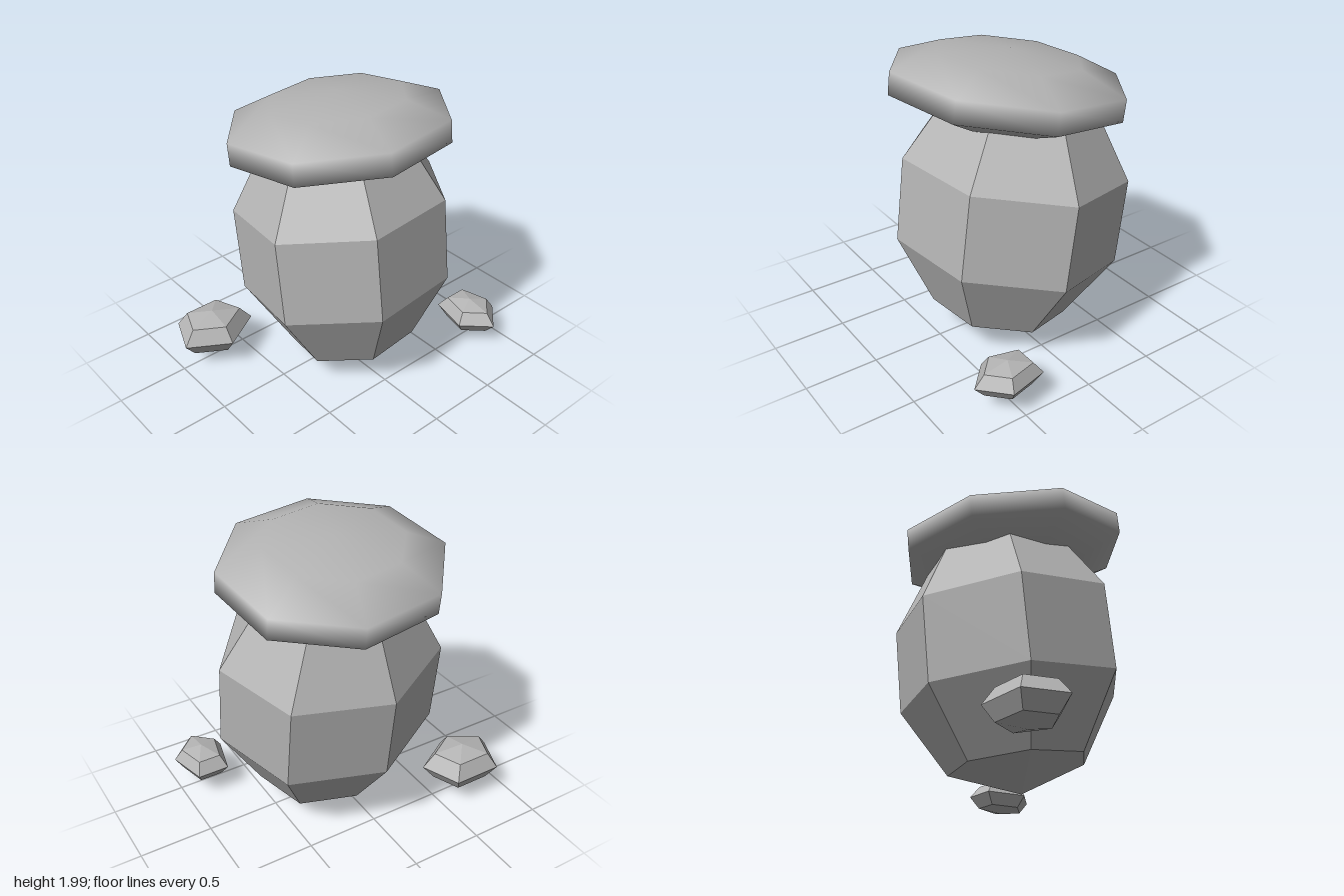
import * as THREE from 'three';

const grey = new THREE.MeshStandardMaterial({ color: 0xb4b4b4 });
grey.name = 'stone grey';

// Coarse ellipsoid, faceted or smooth
function ellipsoid(name, radii, sides, rings, phiStart, faceted) {
  let geometry = new THREE.SphereGeometry(1, sides, rings, phiStart);
  geometry.scale(...radii);
  if (faceted) {
    geometry = geometry.toNonIndexed();
    geometry.computeVertexNormals();
  }
  const mesh = new THREE.Mesh(geometry, grey);
  mesh.name = name;
  return mesh;
}

export function createModel() {
  const model = new THREE.Group();
  model.name = 'cappedStone';
  const lean = -0.125;

  // Seven-sided body, leaning back
  const body = ellipsoid('body', [0.816, 0.935, 0.73], 7, 5, 0, true);
  body.position.set(0.079, 0.929, -0.02);
  body.rotation.set(lean, 0.318, 0);

  // Smooth flattened cap with the same lean
  const cap = ellipsoid('cap', [0.825, 0.237, 0.76], 8, 5, 0, false);
  cap.position.set(0.035, 1.741, -0.03);
  cap.rotation.set(lean, 0.53, 0);
  model.add(body, cap);

  // Five-sided pebbles, each pointing forward
  const pebbles = [
    ['rightPebble', [0.29, 0.145, 0.24], [-0.725, 0.225, -0.515]],
    ['leftPebble', [0.187, 0.113, 0.245], [0.817, 0.198, 0.51]],
  ];
  for (const [name, radii, position] of pebbles) {
    const pebble = ellipsoid(name, radii, 5, 4, Math.PI / 2, true);
    pebble.position.set(...position);
    model.add(pebble);
  }
  return model;
}
